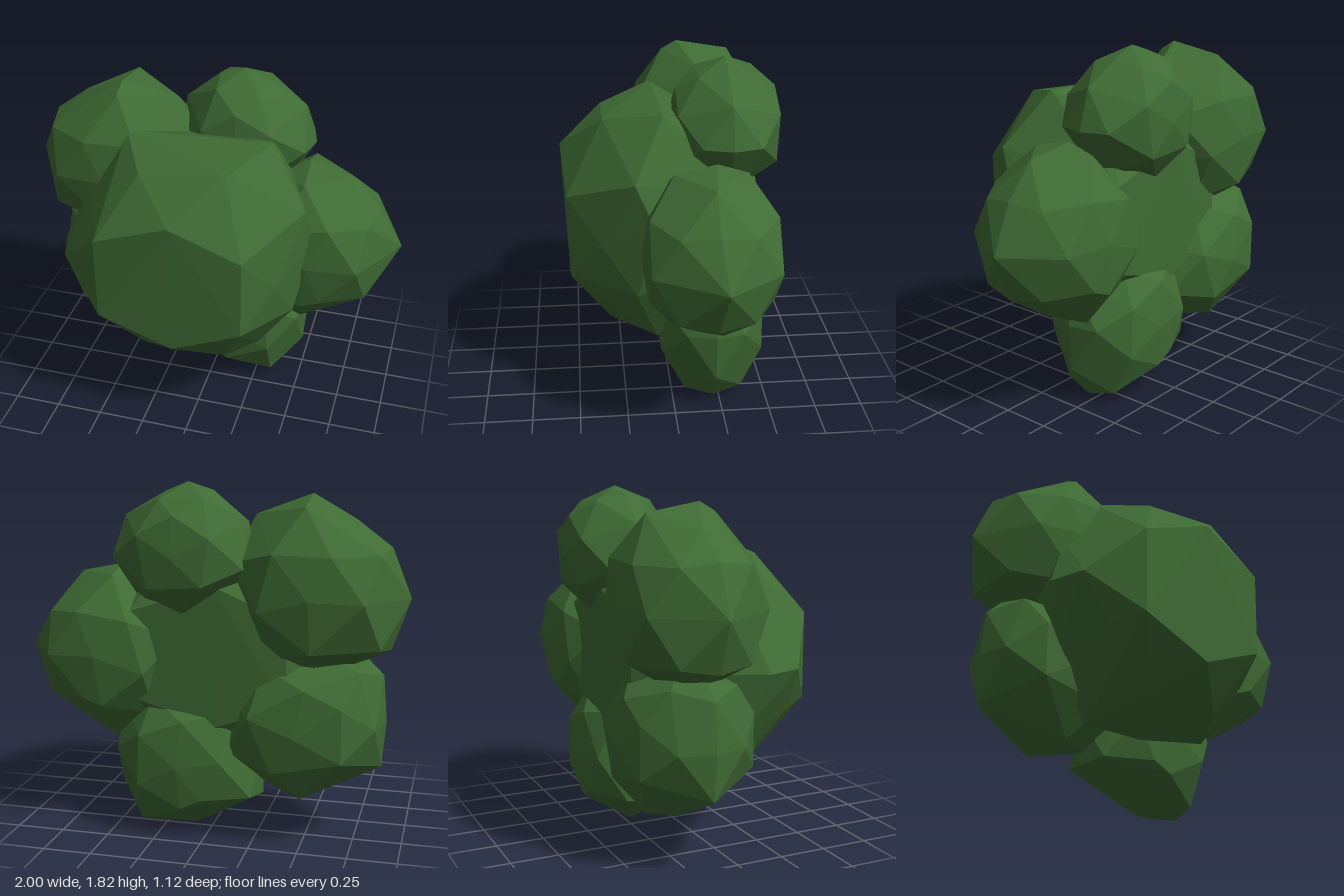
import * as THREE from 'three';
import { ConvexGeometry } from 'three/addons/geometries/ConvexGeometry.js';

export function createModel() {
  const group = new THREE.Group();
  group.name = 'bush';
  const leaf = new THREE.MeshStandardMaterial({ color: 0x3f6b34 });
  leaf.name = 'leaf green';
  leaf.flatShading = true;

  function addHull(name, points) {
    const mesh = new THREE.Mesh(new ConvexGeometry(points), leaf);
    mesh.name = name;
    group.add(mesh);
  }

  // Large central clump: flat front and back hexagons joined by faceted rings
  addHull('centreClump', [
    // front face
    [-0.45, 1.18, 0.54], [-0.06, 1.33, 0.56], [0.3, 1.17, 0.53],
    [0.3, 0.73, 0.52], [-0.06, 0.58, 0.53], [-0.45, 0.73, 0.54],
    // front ring
    [-0.69, 0.94, 0.36], [-0.55, 0.7, 0.38], [-0.27, 1.48, 0.34], [0.17, 1.53, 0.34],
    [0.44, 0.95, 0.36], [0.17, 0.42, 0.32], [-0.28, 0.42, 0.32],
    // widest ring
    [-0.75, 0.94, 0.17], [-0.42, 1.56, 0.06], [0.34, 1.59, 0.05], [0.54, 1.31, 0.2],
    [0.58, 1.09, 0.1], [0.5, 0.7, 0.19], [0.3, 0.36, 0.08], [-0.1, 0.3, 0.06],
    [-0.45, 0.3, 0.07], [-0.64, 0.6, 0.05], [-0.62, 1.25, 0.08],
    // back ring
    [-0.62, 0.95, -0.22], [-0.33, 1.46, -0.22], [0.22, 1.48, -0.22], [0.53, 0.95, -0.22],
    [0.2, 0.43, -0.22], [-0.3, 0.43, -0.22],
    // back face
    [-0.42, 1.16, -0.42], [-0.06, 1.32, -0.44], [0.38, 1.18, -0.42],
    [0.38, 0.73, -0.42], [-0.06, 0.6, -0.42], [-0.42, 0.73, -0.42],
  ].map(p => new THREE.Vector3(...p)));

  // Outer clump: a widest outline in x and y (optionally shifted in z),
  // shrunk in rings towards front and back
  function addClump(name, [cx, cy, cz], depth, outline) {
    const points = [new THREE.Vector3(cx, cy, cz + depth), new THREE.Vector3(cx, cy, cz - depth)];
    outline.forEach(([x, y, shift = 0], i) => {
      const ring = (k, z) => points.push(new THREE.Vector3(cx + (x - cx) * k, cy + (y - cy) * k, cz + z));
      ring(1, shift);
      // alternate corners sit on the middle and the inner rings
      for (const side of [-1, 1]) {
        if (i % 2) ring(0.9, side * 0.52 * depth);
        else ring(0.57, side * 0.9 * depth);
      }
    });
    addHull(name, points);
  }

  addClump('upperRightClump', [-0.54, 1.28, -0.19], 0.35, [
    [-1, 1.26], [-0.9, 1.51], [-0.72, 1.645], [-0.49, 1.76, 0.1], [-0.22, 1.66], [-0.09, 1.45],
    [-0.09, 1.16], [-0.28, 0.92], [-0.55, 0.82], [-0.91, 1.0]]);
  addClump('topClump', [0.13, 1.47, -0.28], 0.28, [
    [0.11, 1.82], [-0.02, 1.78], [-0.2, 1.63], [-0.24, 1.4], [-0.13, 1.22],
    [0.1, 1.14], [0.35, 1.19], [0.5, 1.45], [0.44, 1.65], [0.23, 1.77]]);
  addClump('leftClump', [0.55, 0.95, -0.17], 0.345, [
    [1, 0.94, -0.03], [0.87, 1.17], [0.72, 1.34], [0.49, 1.39, -0.03], [0.25, 1.27], [0.11, 1.05],
    [0.11, 0.8], [0.25, 0.6], [0.5, 0.49, -0.15], [0.51, 0.49, 0.05], [0.68, 0.56, -0.05], [0.88, 0.69]]);
  addClump('lowerLeftClump', [0.13, 0.39, -0.215], 0.29, [
    [0.1, 0], [0.37, 0.02], [0.5, 0.2], [0.52, 0.45], [0.48, 0.66],
    [0.3, 0.77], [0.08, 0.81], [-0.15, 0.7], [-0.27, 0.45], [-0.27, 0.2], [-0.08, 0.09]]);
  addClump('lowerRightClump', [-0.48, 0.6, -0.2], 0.335, [
    [-0.88, 0.39], [-0.9, 0.63], [-0.88, 0.87], [-0.8, 0.95], [-0.55, 1.02],
    [-0.28, 0.95], [-0.06, 0.74], [-0.06, 0.45], [-0.27, 0.26], [-0.49, 0.2]]);
  return group;
}
